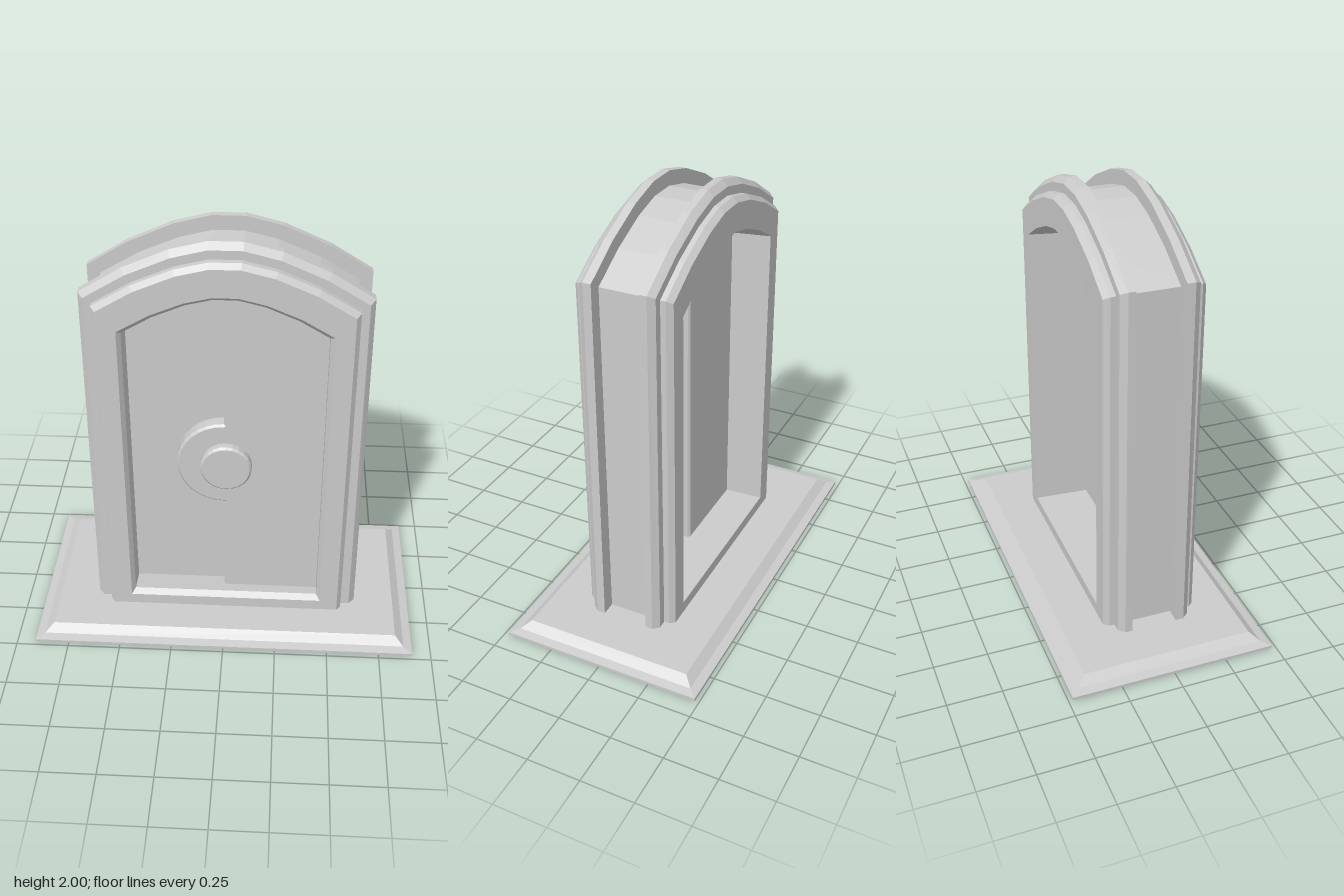
import * as THREE from 'three';

const material = new THREE.MeshStandardMaterial({ color: 0xcccccc, flatShading: true });

function addMesh(group, name, geometry) {
  const mesh = new THREE.Mesh(geometry, material);
  mesh.name = name;
  group.add(mesh);
  return mesh;
}

// Skin between successive closed loops of [x, y, z] points with equal counts
function loft(loops, closed = false) {
  const pos = [];
  const last = closed ? loops.length : loops.length - 1;
  for (let k = 0; k < last; k++) {
    const a = loops[k], b = loops[(k + 1) % loops.length];
    for (let i = 0; i < a.length; i++) {
      const j = (i + 1) % a.length;
      pos.push(...a[i], ...a[j], ...b[j], ...a[i], ...b[j], ...b[i]);
    }
  }
  const g = new THREE.BufferGeometry();
  g.setAttribute('position', new THREE.Float32BufferAttribute(pos, 3));
  g.computeVertexNormals();
  return g;
}

// Right half of the arch: fractions of half width and of rise
const ARCH = [[1, 0], [0.7, 0.47], [0.38, 0.83], [0.12, 1]];

// Door-shaped outline, counter-clockwise seen from the front
function archLoop(w, base, shoulder, top, z, flare = 0) {
  const half = ARCH.map(([u, v]) => [w * u, shoulder + (top - shoulder) * v, z]);
  const right = [[w + flare, base, z], ...half];
  const left = right.map(([x, y]) => [-x, y, z]).reverse();
  return [...right, ...left];
}

function extrude(points, depth, bevel = 0) {
  const shape = new THREE.Shape(points.map(([x, y]) => new THREE.Vector2(x, y)));
  return new THREE.ExtrudeGeometry(shape, {
    depth, bevelEnabled: bevel > 0, bevelSize: bevel, bevelThickness: bevel,
    bevelOffset: -bevel, bevelSegments: 1,
  });
}

function createBase() {
  const base = new THREE.Group();
  base.name = 'base';
  const rect = (x, z, y) => [[x, y, z], [x, y, -z], [-x, y, -z], [-x, y, z]];
  addMesh(base, 'basePlateEdge', loft([
    rect(0.83, 0.4, 0.02), rect(0.88, 0.45, 0), rect(0.91, 0.48, 0),
    rect(0.91, 0.48, 0.014), rect(0.87, 0.44, 0.022), rect(0.83, 0.4, 0.055),
  ]));
  addMesh(base, 'basePlateTop', new THREE.BoxGeometry(1.66, 0.007, 0.8)).position.y = 0.0515;

  // Underside with a shallow socket shaped like the frame's footprint
  const outline = [[0.83, -0.4], [0.83, 0.4], [-0.83, 0.4], [-0.83, -0.4]];
  const shape = new THREE.Shape(outline.map(([x, y]) => new THREE.Vector2(x, y)));
  const side = [[0.57, -0.235], [0.57, -0.185], [0.635, -0.185],
    [0.635, 0.16], [0.57, 0.16], [0.57, 0.21]];
  const socket = [...side, ...side.map(([x, y]) => [-x, y]).reverse()];
  shape.holes.push(new THREE.Path(socket.map(([x, y]) => new THREE.Vector2(x, y))));
  const under = new THREE.ExtrudeGeometry(shape, { depth: 0.028, bevelEnabled: false });
  under.rotateX(-Math.PI / 2);
  addMesh(base, 'baseUnderside', under).position.y = 0.02;
  return base;
}

function createFrame() {
  const frame = new THREE.Group();
  frame.name = 'frame';
  const y0 = 0.05;
  // Main arched body with bevelled rims around a through opening
  addMesh(frame, 'frameBody', loft([
    archLoop(0.55, y0, 1.7, 1.91, -0.21),
    archLoop(0.57, y0, 1.715, 1.932, -0.185),
    archLoop(0.57, y0, 1.715, 1.932, 0.215),
    archLoop(0.55, y0, 1.7, 1.91, 0.238),
    archLoop(0.465, 0.11, 1.605, 1.78, 0.238),
    archLoop(0.447, 0.135, 1.59, 1.76, 0.215),
    archLoop(0.447, 0.11, 1.59, 1.76, 0.06),
    archLoop(0.465, 0.11, 1.605, 1.78, -0.21),
  ], true));

  // Raised bands running round the body, bevelled on their outer side
  const band = (zIn, zMid, zOut) => {
    const loops = [
      archLoop(0.55, y0, 1.7, 1.9, zIn),
      archLoop(0.63, y0, 1.752, 2, zIn, 0.009),
      archLoop(0.63, y0, 1.752, 2, zMid, 0.009),
      archLoop(0.607, y0, 1.737, 1.972, zOut, 0.005),
      archLoop(0.55, y0, 1.7, 1.9, zOut),
    ];
    return loft(zOut > zIn ? loops : loops.reverse());
  };
  addMesh(frame, 'frontBand', band(0.118, 0.157, 0.187));
  addMesh(frame, 'backBand', band(-0.098, -0.132, -0.16));
  return frame;
}

function createDoors() {
  const doors = new THREE.Group();
  doors.name = 'doors';
  const half = [[0.5, 0.08], ...ARCH.map(([u, v]) => [0.5 * u, 1.62 + 0.19 * v])];
  const lockY = 0.867, lockR = 0.22;

  // Forward leaf with a half-round lock plate overlapping the other leaf
  const arc = [];
  for (let i = 0; i <= 16; i++) {
    const a = Math.PI / 2 + (Math.PI * i) / 16;
    arc.push([lockR * Math.cos(a) - 0.01, lockY + lockR * Math.sin(a)]);
  }
  const leftLeaf = [...half, [-0.01, 1.81], ...arc, [-0.01, 0.08]];
  addMesh(doors, 'leftLeaf', extrude(leftLeaf, 0.075, 0.01)).position.z = 0.07;

  // Rear leaf
  const rightLeaf = [...half, [-0.01, 1.81], [-0.01, 0.08]].map(([x, y]) => [-x, y]).reverse();
  addMesh(doors, 'rightLeaf', extrude(rightLeaf, 0.09, 0.01)).position.z = -0.01;

  // Round knob
  const profile = [[0, 0], [0.12, 0], [0.12, 0.035], [0.11, 0.045], [0, 0.045]];
  const knob = new THREE.LatheGeometry(profile.map(([x, y]) => new THREE.Vector2(x, y)), 24);
  knob.rotateX(Math.PI / 2);
  addMesh(doors, 'knob', knob).position.set(0, lockY, 0.15);
  return doors;
}

export function createModel() {
  const model = new THREE.Group();
  model.name = 'archedDoorway';
  model.add(createBase(), createFrame(), createDoors());
  return model;
}
